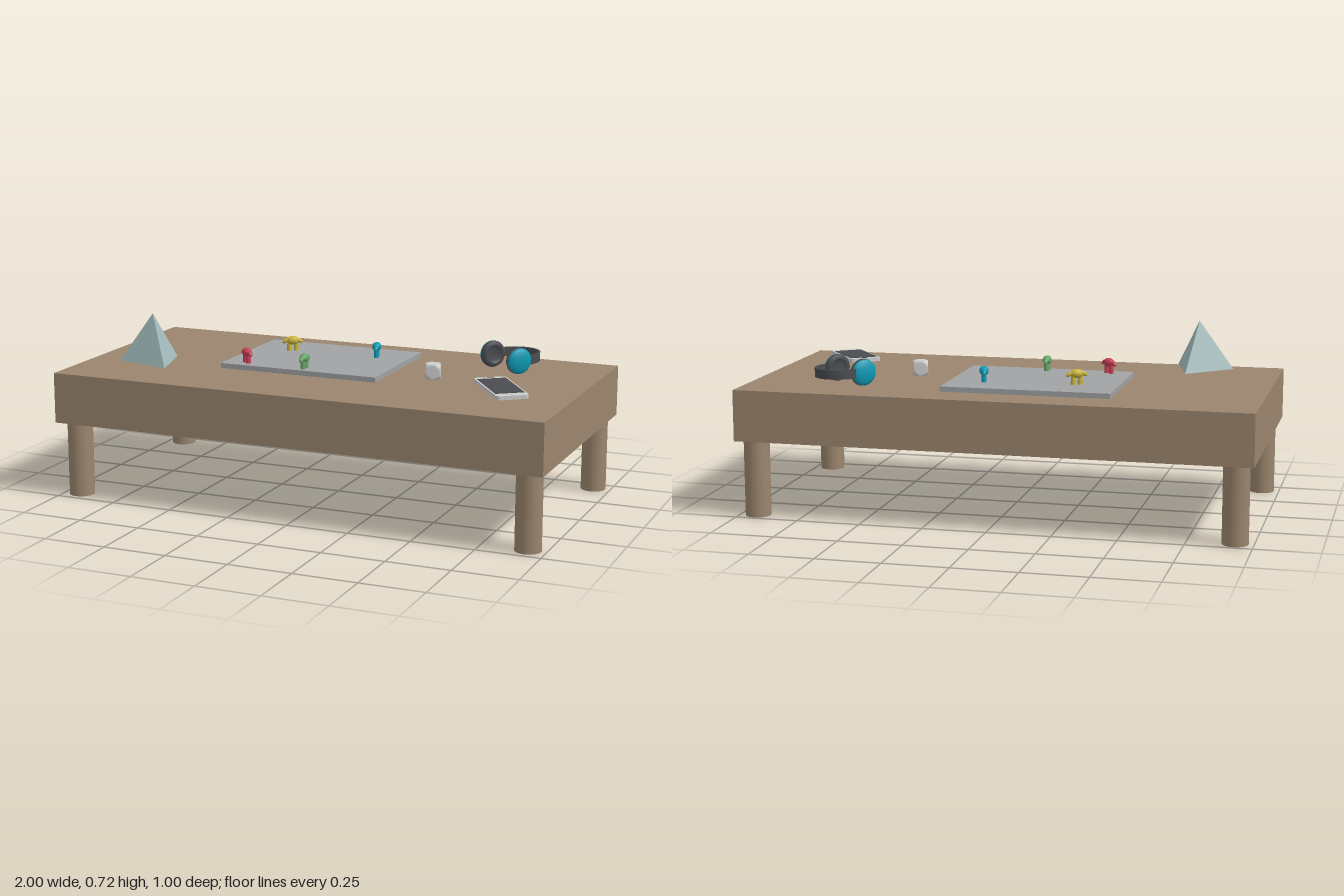
import * as THREE from 'three';
import { ConvexGeometry } from 'three/addons/geometries/ConvexGeometry.js';

const mat = (color, extra = {}) => new THREE.MeshStandardMaterial({ color, ...extra });
const V = (x, y, z) => new THREE.Vector3(x, y, z);

function add(parent, name, geometry, material, x = 0, y = 0, z = 0) {
  const mesh = new THREE.Mesh(geometry, material);
  mesh.name = name;
  mesh.position.set(x, y, z);
  parent.add(mesh);
  return mesh;
}

function group(parent, name, x, y, z, turn = 0) {
  const g = new THREE.Group();
  g.name = name;
  g.position.set(x, y, z);
  g.rotation.y = turn;
  parent.add(g);
  return g;
}

// Flat slab with rounded corners lying in xz, its base at y = 0
function roundedSlab(w, d, r, h) {
  const s = new THREE.Shape();
  const x = w / 2 - r, y = d / 2 - r;
  s.absarc(x, y, r, 0, Math.PI / 2);
  s.absarc(-x, y, r, Math.PI / 2, Math.PI);
  s.absarc(-x, -y, r, Math.PI, Math.PI * 1.5);
  s.absarc(x, -y, r, Math.PI * 1.5, Math.PI * 2);
  return new THREE.ExtrudeGeometry(s, { depth: h, bevelEnabled: false, curveSegments: 6 }).rotateX(-Math.PI / 2);
}

// Squat game figure: domed body, sloping arms, two stubby legs; arms along local x
function figure(parent, name, color, x, z, turn) {
  const g = group(parent, name, x, 0.52, z, turn);
  const m = mat(color);
  const ball = new THREE.SphereGeometry(1, 20, 14);
  add(g, 'body', ball, m, 0, 0.042, 0).scale.set(0.027, 0.018, 0.018);
  add(g, 'head', ball, m, 0, 0.047, 0).scale.set(0.019, 0.013, 0.015);
  for (const s of [-1, 1]) {
    const arm = add(g, 'arm', ball, m, s * 0.029, 0.041, 0);
    arm.scale.set(0.016, 0.008, 0.009);
    arm.rotation.z = -s * 0.6;
    add(g, 'leg', new THREE.CylinderGeometry(0.009, 0.01, 0.03, 14), m, s * 0.014, 0.015, 0);
  }
}

export function createModel() {
  const model = new THREE.Group();
  const wood = mat(0x9b866e), dark = mat(0x4a4c50), teal = mat(0x0c9ab4), pale = mat(0xc4c4c4);

  // Table
  add(model, 'tableTop', new THREE.BoxGeometry(2, 0.2, 1), wood, 0, 0.4, 0);
  for (const x of [-0.93, 0.93]) for (const z of [-0.44, 0.43])
    add(model, 'tableLeg', new THREE.CylinderGeometry(0.05, 0.05, 0.3, 32), wood, x, 0.15, z);

  // Board and its four figures
  add(model, 'board', new THREE.BoxGeometry(0.66, 0.02, 0.5), mat(0xa0a2a4), -0.11, 0.51, -0.092);
  figure(model, 'redFigure', 0xc84058, -0.348, 0.11, -0.69);
  figure(model, 'yellowFigure', 0xc8b43c, -0.277, -0.172, 0.52);
  figure(model, 'greenFigure', 0x66a56a, -0.096, 0.113, Math.PI / 2);
  figure(model, 'blueFigure', 0x0c9ab4, 0.085, -0.192, -1.31);

  // Three-sided pyramid
  const corners = [V(-0.82, 0.525, 0.29), V(-0.65, 0.525, 0.128), V(-0.587, 0.525, 0.355), V(-0.685, 0.72, 0.26)];
  add(model, 'pyramid', new ConvexGeometry(corners), mat(0xa4bcbc, { flatShading: true }));

  // Die: a cube whose corners are pulled in to a sphere
  const die = new THREE.BoxGeometry(0.06, 0.06, 0.06, 12, 12, 12);
  const p = die.attributes.position, v = V(0, 0, 0);
  for (let i = 0; i < p.count; i++) {
    v.fromBufferAttribute(p, i).clampLength(0, 0.041);
    p.setXYZ(i, v.x, v.y, v.z);
  }
  die.computeVertexNormals();
  add(model, 'die', die, pale, 0.398, 0.53, 0).rotation.y = 0.3;

  // Phone, resting slightly tilted
  const phone = group(model, 'phone', 0.738, 0.527, 0.195, 0.635);
  phone.rotation.order = 'YXZ';
  phone.rotation.x = 0.02;
  add(phone, 'phoneCase', roundedSlab(0.126, 0.286, 0.015, 0.015), pale);
  add(phone, 'phoneScreen', new THREE.BoxGeometry(0.112, 0.002, 0.222), dark, 0, 0.0155, -0.006);
  add(phone, 'homeButton', new THREE.CylinderGeometry(0.009, 0.009, 0.002, 20), pale, 0, 0.0155, 0.123);
  add(phone, 'speaker', new THREE.BoxGeometry(0.025, 0.002, 0.004), dark, 0, 0.015, -0.131);

  // Headphones: lathed cups, whose local y points outward
  const headphones = group(model, 'headphones', 0, 0, 0);
  const profile = (pts) => new THREE.LatheGeometry(pts.map(([r, y]) => new THREE.Vector2(r, y)), 36);
  const shell = profile([[0.05, 0], [0.051, 0.007], [0.046, 0.013], [0.034, 0.018], [0.018, 0.021], [0, 0.022]]);
  const cushion = profile([[0, -0.012], [0.028, -0.012], [0.031, -0.019], [0.04, -0.021], [0.049, -0.016], [0.053, -0.008], [0.052, 0.001], [0, 0.001]]);
  const outward = V(0.76, 0, 0.65).normalize();
  for (const [name, x, z, s] of [['leftCup', 0.681, -0.2, 1], ['rightCup', 0.541, -0.291, -1]]) {
    const cup = group(headphones, name, x, 0.553, z);
    cup.quaternion.setFromUnitVectors(V(0, 1, 0), outward.clone().multiplyScalar(s));
    add(cup, 'cupShell', shell, teal);
    add(cup, 'cupCushion', cushion, dark);
  }
  // Headband: a thin ribbon swept along the arc and given height
  const arc = new THREE.CatmullRomCurve3([[0.54, -0.3], [0.565, -0.335], [0.595, -0.364], [0.64, -0.378],
    [0.69, -0.366], [0.722, -0.33], [0.729, -0.285], [0.715, -0.235], [0.692, -0.2]].map(([x, z]) => V(x, 0, z)));
  const outer = [], inner = [];
  for (let i = 0; i <= 48; i++) {
    const c = arc.getPoint(i / 48), t = arc.getTangent(i / 48);
    outer.push(new THREE.Vector2(c.x + t.z * 0.004, -c.z + t.x * 0.004));
    inner.unshift(new THREE.Vector2(c.x - t.z * 0.004, -c.z - t.x * 0.004));
  }
  const band = new THREE.ExtrudeGeometry(new THREE.Shape([...outer, ...inner]), { depth: 0.036, bevelEnabled: false });
  add(headphones, 'headband', band.rotateX(-Math.PI / 2), dark, 0, 0.535, 0);

  return model;
}
